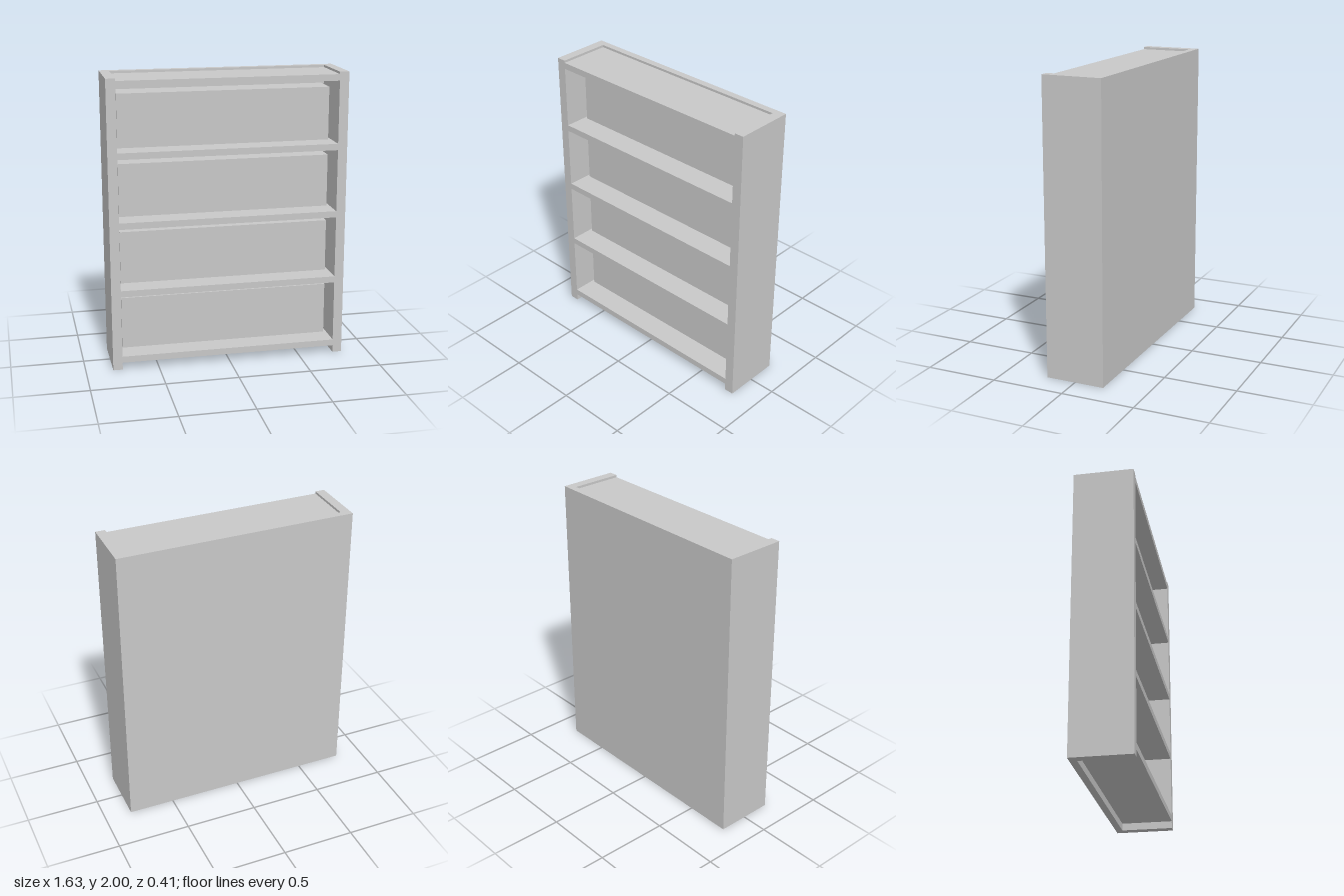
import * as THREE from 'three';

const grey = new THREE.MeshStandardMaterial({ color: 0xc8c8c8 });
grey.name = 'light grey';

// Overall sizes
const W = 0.815, D = 0.203, H = 2;
const innerX = 0.75, backZ = -0.155;

// Box given by its half width and its y and z limits
function board(name, halfW, y0, y1, z0, z1) {
  const mesh = new THREE.Mesh(new THREE.BoxGeometry(halfW * 2, y1 - y0, z1 - z0), grey);
  mesh.position.set(0, (y0 + y1) / 2, (z0 + z1) / 2);
  mesh.name = name;
  return mesh;
}

export function createModel() {
  const bookcase = new THREE.Group();
  bookcase.name = 'bookcase';

  // Sides and back as one U-shaped plan, extruded upward (plan y = -z)
  const plan = new THREE.Shape([
    [-W, -D], [-innerX, -D], [-innerX, -backZ], [innerX, -backZ],
    [innerX, -D], [W, -D], [W, D], [-W, D],
  ].map(([x, y]) => new THREE.Vector2(x, y)));
  const frameGeometry = new THREE.ExtrudeGeometry(plan, { depth: H, bevelEnabled: false });
  frameGeometry.rotateX(-Math.PI / 2);
  const frame = new THREE.Mesh(frameGeometry, grey);
  frame.name = 'sidesAndBack';
  bookcase.add(frame);

  // Five evenly spaced shelves, the lowest and highest set in from the ends
  const pitch = 0.4725, thickness = 0.044, firstTop = 0.094;
  for (let i = 0; i < 5; i++) {
    const top = firstTop + i * pitch;
    bookcase.add(board(`shelf${i + 1}`, innerX, top - thickness, top, backZ, D));
    // A block of contents stands at the back of each bay
    if (i < 4) bookcase.add(board(`shelfContents${i + 1}`, 0.73, top, top + 0.365, backZ, 0.04));
  }
  return bookcase;
}
